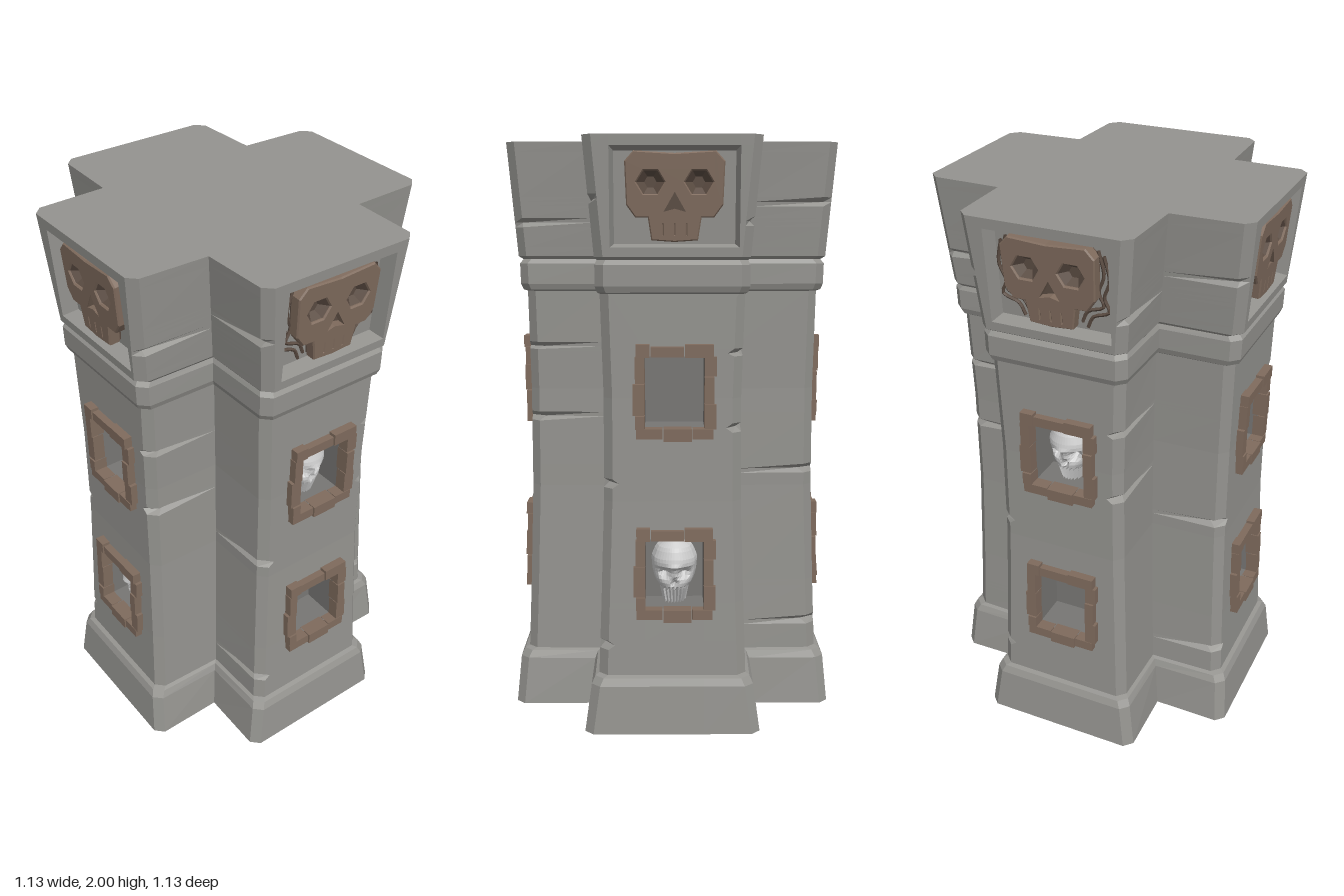
import * as THREE from 'three';

const paint = (color) => new THREE.MeshStandardMaterial({ color, flatShading: true, side: THREE.DoubleSide });
const stone = paint(0x94938f), nicheStone = paint(0x777674), brown = paint(0x7f6b5d);
const darkBrown = paint(0x5c4d43), bone = paint(0xcccccc);
const SHIFT = 0.007; // openings sit slightly off the arm's middle

// Arm profile: height, distance to face, half width, inner corner
const PROFILE = [
  [0, 0.567, 0.3, 0.297], [0.165, 0.552, 0.277, 0.28], [0.19, 0.54, 0.265, 0.27], [0.196, 0.524, 0.252, 0.258],
  [0.45, 0.514, 0.243, 0.248], [0.8, 0.503, 0.232, 0.237], [1.15, 0.502, 0.23, 0.235], [1.495, 0.508, 0.24, 0.243],
  [1.5, 0.522, 0.248, 0.25], [1.52, 0.53, 0.255, 0.257], [1.59, 0.532, 0.255, 0.258], [1.605, 0.52, 0.248, 0.25],
  [1.615, 0.536, 0.256, 0.258], [2, 0.567, 0.29, 0.297],
];
const OPENINGS = [[0.43, 0.67], [1.05, 1.29], [1.645, 1.965]];
// Chipped edges: height and side
const CHIPS = [[0.3, -1], [1.05, 1], [1.3, 1], [0.86, -1], [1.73, 1], [1.8, -1]];

// Linear lookup in rows sorted by their first value
function lookup(rows, y) {
  let i = 1;
  while (i < rows.length - 1 && rows[i][0] < y) i++;
  const [p, q] = [rows[i - 1], rows[i]];
  const t = (y - p[0]) / (q[0] - p[0]);
  return p.slice(1).map((v, k) => v + (q[k + 1] - v) * t);
}
const faceZ = (y) => lookup(PROFILE, y)[0];
const openingHalf = (y) => (y > 1.4 ? 0.21 : 0.1);

function mesh(name, geometry, material, x = 0, y = 0, z = 0) {
  const m = new THREE.Mesh(geometry, material);
  m.name = name;
  m.position.set(x, y, z);
  return m;
}
function fromTriangles(list) {
  const g = new THREE.BufferGeometry();
  g.setAttribute('position', new THREE.Float32BufferAttribute(list.flat(), 3));
  g.computeVertexNormals();
  return g;
}
const quad = (a, b, c, d) => [a, b, c, a, c, d];

// Cross-section of one arm, left inner corner to right inner corner
function section(y) {
  const [d, w, a] = lookup(PROFILE, y);
  const h = openingHalf(y);
  const side = (s) => {
    const chipped = CHIPS.some((k) => k[0] === y && k[1] === s);
    const c = chipped && y < 1.5 ? 0.052 : 0.03;
    const e = chipped ? w - 0.018 : w;
    return [[s * a, y, a], [s * e, y, d - c], [s * (w - c), y, d], [s * h + SHIFT, y, d]];
  };
  return [...side(-1), ...side(1).reverse()];
}

function armBody() {
  const ys = [...PROFILE.map((r) => r[0]), ...OPENINGS.flat(), ...CHIPS.flatMap(([y]) => [y - 0.016, y, y + 0.016])];
  const rows = [...new Set(ys)].sort((p, q) => p - q).map(section);
  const tris = [];
  for (let i = 0; i < rows.length - 1; i++) {
    const [lo, hi] = [rows[i], rows[i + 1]];
    const mid = (lo[0][1] + hi[0][1]) / 2;
    const open = OPENINGS.some(([p, q]) => mid > p && mid < q);
    for (let j = 0; j < 7; j++) {
      if (!(open && j === 3)) tris.push(...quad(lo[j], lo[j + 1], hi[j + 1], hi[j]));
    }
  }
  // quarter of the flat roof
  const top = rows[rows.length - 1];
  for (let j = 0; j < 7; j++) tris.push([0, 2, 0], top[j], top[j + 1]);
  return mesh('armStone', fromTriangles(tris), stone);
}

// Recessed box behind an opening
function niche([y0, y1], depth, inset, material) {
  const ring = (back, i) => [[-1, y0 + i], [1, y0 + i], [1, y1 - i], [-1, y1 - i]].map(([s, y]) =>
    [s * (openingHalf(y0) - i) + SHIFT, y, faceZ(y) - back]);
  const [front, back] = [ring(0, 0), ring(depth, inset)];
  const tris = quad(...back);
  for (let i = 0; i < 4; i++) {
    const n = (i + 1) % 4;
    tris.push(...quad(front[i], front[n], back[n], back[i]));
  }
  return mesh('niche', fromTriangles(tris), material);
}

// Uneven stone blocks around a window
function windowFrame() {
  const g = new THREE.Group();
  g.name = 'windowFrame';
  const cuts = [[-1, -0.62, 0.25, 1], [-1, -0.3, 0.45, 1]];
  for (const s of [-1, 1]) {
    const [across, up] = s > 0 ? cuts : [cuts[1], cuts[0]];
    for (let i = 0; i < 3; i++) {
      const wob = ((i + (s > 0 ? 1 : 0)) % 2) * 0.008;
      const wx = (across[i + 1] - across[i]) * 0.13, wy = (up[i + 1] - up[i]) * 0.122;
      g.add(mesh('lintelBlock', new THREE.BoxGeometry(wx - 0.003, 0.034 + wob, 0.046 + wob), brown,
        (across[i + 1] + across[i]) * 0.065, s * (0.136 + wob / 2), 0.004));
      g.add(mesh('jambBlock', new THREE.BoxGeometry(0.032 + wob, wy - 0.003, 0.05 - wob), brown,
        s * (0.115 + wob / 2), (up[i + 1] + up[i]) * 0.061, 0.004));
    }
  }
  return g;
}

// Bone skull: a bulged grid with sockets, nose and teeth pressed in
function boneSkull() {
  const SHAPE = [[-1, 0.04, 0.055], [-0.5, 0.052, 0.075], [-0.3, 0.068, 0.08], [0, 0.076, 0.085],
    [0.4, 0.08, 0.095], [0.75, 0.064, 0.08], [1, 0.03, 0.045]];
  const g = new THREE.PlaneGeometry(2, 2, 16, 18);
  const p = g.attributes.position;
  const dent = (u, v, cu, cv, ru, rv) => Math.exp(-(((u - cu) / ru) ** 2) - ((v - cv) / rv) ** 2);
  for (let i = 0; i < p.count; i++) {
    const u = p.getX(i), v = p.getY(i);
    const [w, d] = lookup(SHAPE, v);
    let z = d * Math.pow(Math.max(0, 1 - u * u), 0.45);
    z -= 0.042 * dent(Math.abs(u), v, 0.43, 0, 0.22, 0.15);
    z -= 0.03 * dent(u, v, 0, -0.33, 0.13, 0.12);
    z += 0.012 * dent(u, v, 0, 0.24, 0.7, 0.08);
    if (v < -0.5 && Math.abs(u) < 0.9 && (i % 17) % 2) z -= 0.02;
    p.setXYZ(i, u * w, v * 0.112, z);
  }
  g.computeVertexNormals();
  return mesh('boneSkull', g, bone);
}

// Carved skull relief for the top panels
function skullRelief() {
  const g = new THREE.Group();
  g.name = 'skullRelief';
  const half = [[0.13, 0.14], [0.157, 0.11], [0.152, -0.025], [0.125, -0.062], [0.083, -0.062], [0.072, -0.135]];
  const mirrored = half.map(([x, y]) => [-x, y]).reverse();
  const toShape = (pts) => new THREE.Shape(pts.map(([x, y]) => new THREE.Vector2(x, y)));
  const outline = [...half, [0, -0.14], ...mirrored, [0, 0.132]];
  const face = toShape(outline);
  for (const s of [-1, 1]) {
    const eye = [0, 1, 2, 3, 4, 5].map((k) => {
      const t = (k * Math.PI) / 3;
      return [s * 0.078 + 0.05 * Math.cos(t), 0.045 + 0.047 * Math.sin(t)];
    });
    face.holes.push(toShape(eye));
    const socket = new THREE.CylinderGeometry(0.05, 0.02, 0.032, 6, 1, true, Math.PI / 2);
    socket.rotateX(Math.PI / 2);
    g.add(mesh('eyeSocket', socket, darkBrown, s * 0.078, 0.045, 0.03));
  }
  face.holes.push(toShape([[0, 0.015], [0.036, -0.048], [0, -0.038], [-0.036, -0.048]]));
  for (const x of [-0.038, 0, 0.038]) {
    face.holes.push(toShape([[x - 0.003, -0.125], [x + 0.003, -0.125], [x + 0.003, -0.085], [x - 0.003, -0.085]]));
  }
  g.add(mesh('reliefBack', new THREE.ExtrudeGeometry(toShape(outline), { depth: 0.012, bevelEnabled: false }), darkBrown));
  g.add(mesh('reliefFace', new THREE.ExtrudeGeometry(face,
    { depth: 0.032, bevelThickness: 0.005, bevelSize: 0.004, bevelSegments: 1 }), brown, 0, 0, 0.01));
  return g;
}

// Wavy strands beside the relief on the side arms
function strands() {
  const g = new THREE.Group();
  g.name = 'strands';
  for (const s of [-1, 1]) for (const k of [0, 1]) {
    const pts = [[0.175, 0.11], [0.19, 0.03], [0.17, -0.03], [0.185, -0.075], [0.13, -0.1], [0.11, -0.14]]
      .map(([x, y]) => new THREE.Vector3(s * (x - k * 0.018), y + k * 0.016, 0.008));
    g.add(mesh('strand', new THREE.TubeGeometry(new THREE.CatmullRomCurve3(pts), 20, 0.006, 5), darkBrown));
  }
  return g;
}

export function createModel() {
  const tower = new THREE.Group();
  tower.name = 'tower';
  for (let k = 0; k < 4; k++) {
    const arm = new THREE.Group();
    arm.name = ['frontArm', 'leftArm', 'backArm', 'rightArm'][k];
    arm.rotation.y = (k * Math.PI) / 2;
    arm.add(armBody());
    // two windows, one of them holding a skull
    OPENINGS.slice(0, 2).forEach((o, i) => {
      const y = (o[0] + o[1]) / 2;
      arm.add(niche(o, 0.14, 0, nicheStone));
      const frame = windowFrame();
      frame.position.set(SHIFT, y, faceZ(y));
      frame.rotation.x = Math.atan2(faceZ(o[0]) - faceZ(o[1]), o[1] - o[0]) * -1;
      arm.add(frame);
      if (i === k % 2) {
        const skull = boneSkull();
        skull.position.set(SHIFT, y - 0.008, faceZ(y) - 0.11);
        arm.add(skull);
      }
    });
    // sunken top panel with its carving
    arm.add(niche(OPENINGS[2], 0.055, 0.012, stone));
    const carving = skullRelief();
    if (k % 2) carving.add(strands());
    carving.position.set(SHIFT, 1.81, faceZ(1.81) - 0.056);
    carving.rotation.x = 0.08;
    arm.add(carving);
    tower.add(arm);
  }
  return tower;
}
